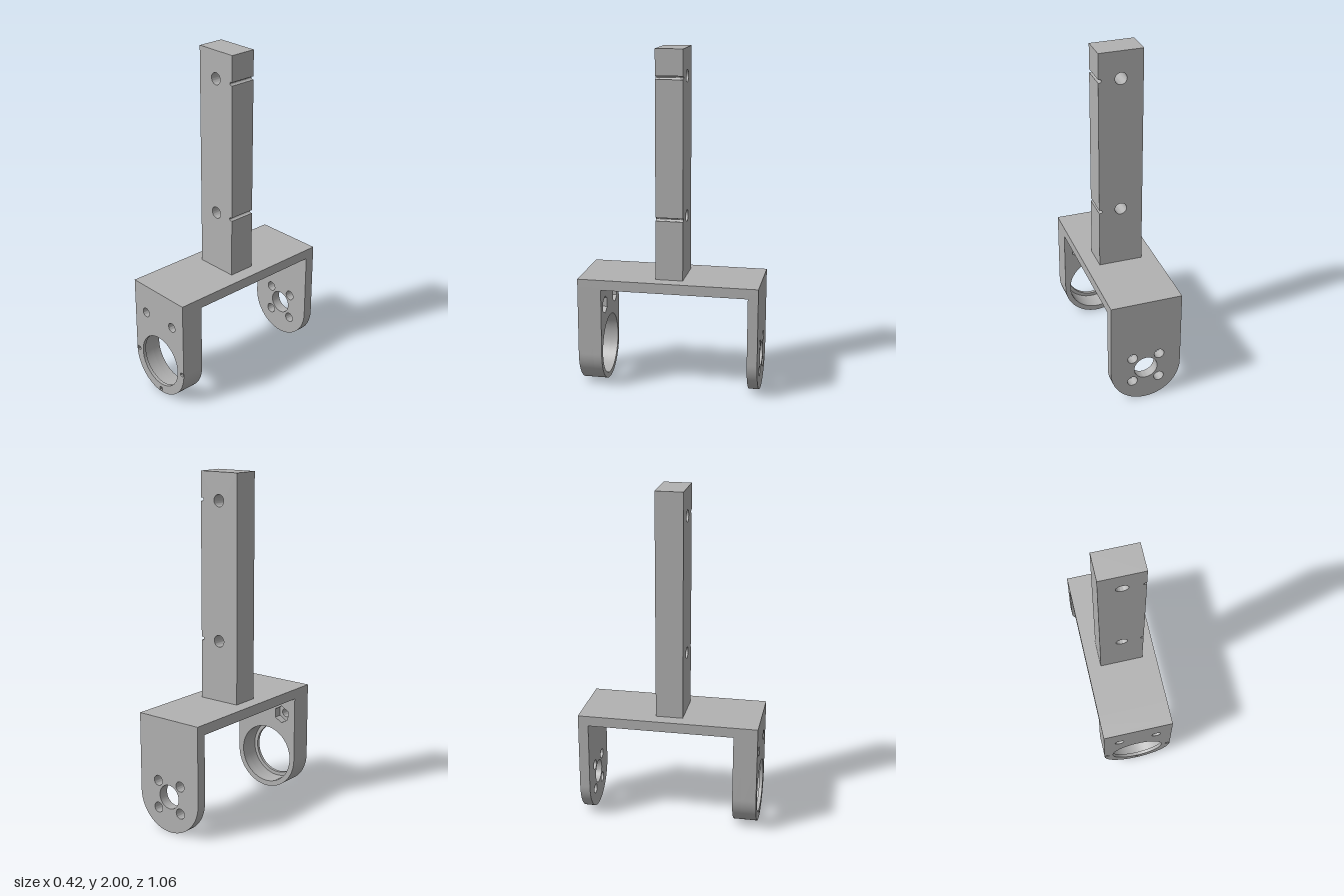
import * as THREE from 'three';
import { toCreasedNormals } from 'three/addons/utils/BufferGeometryUtils.js';

const HALF = 0.212;   // half width of the bracket and radius of the leg ends
const AXLE = 0.212;   // height of the axle line
const TOP = 0.67;     // top of the bracket

function circle(x, y, r) {
  return new THREE.Path().absarc(x, y, r, 0, Math.PI * 2, true);
}

function polygon(points) {
  return new THREE.Path(points.map(([x, y]) => new THREE.Vector2(x, y))).closePath();
}

function hexagon(x, y, r) {
  return polygon(Array.from({ length: 6 }, (_, i) => {
    const a = Math.PI / 2 + i * Math.PI / 3;
    return [x + r * Math.cos(a), y + r * Math.sin(a)];
  }));
}

// Small radial slot beside the bearing hole, pointing along angle a
function radialSlot(a) {
  const c = Math.cos(a), s = Math.sin(a), w = 0.011;
  return polygon([[0.182, -0.6], [0.19, -1], [0.206, -1], [0.206, 1], [0.19, 1], [0.182, 0.6]]
    .map(([r, t]) => [r * c - t * w * s, AXLE + r * s + t * w * c]));
}

// Round-ended leg outline with the given cutouts
function legShape(holes) {
  const s = new THREE.Shape();
  s.moveTo(HALF, TOP);
  s.lineTo(-HALF, TOP);
  s.lineTo(-HALF, AXLE);
  s.absarc(0, AXLE, HALF, Math.PI, Math.PI * 2, false);
  s.closePath();
  s.holes.push(...holes);
  return s;
}

export function createModel() {
  const group = new THREE.Group();
  const grey = new THREE.MeshStandardMaterial({ color: 0xb2b2b2 });
  grey.name = 'grey';

  function add(name, geometry, parent = group) {
    const mesh = new THREE.Mesh(geometry, grey);
    mesh.name = name;
    parent.add(mesh);
    return mesh;
  }

  function slab(name, shape, z0, z1, parent) {
    const geo = new THREE.ExtrudeGeometry(shape, { depth: z1 - z0, bevelEnabled: false, curveSegments: 32 });
    geo.translate(0, 0, z0);
    add(name, toCreasedNormals(geo, 0.5), parent);
  }

  // Upright bar with two cross holes and two grooves in its left side
  const bar = new THREE.Shape();
  bar.moveTo(-0.13, TOP);
  bar.lineTo(0.13, TOP);
  for (const y of [1.03, 1.84]) {
    bar.lineTo(0.13, y - 0.01);
    bar.lineTo(0.122, y - 0.01);
    bar.absarc(0.122, y, 0.01, -Math.PI / 2, Math.PI / 2, true);
    bar.lineTo(0.13, y + 0.01);
    bar.holes.push(circle(0, y, 0.035));
  }
  bar.lineTo(0.13, 2);
  bar.lineTo(-0.13, 2);
  bar.closePath();
  slab('uprightBar', bar, -0.08, 0.08);

  // Bridge plate joining the legs
  const plate = new THREE.BoxGeometry(HALF * 2, 0.06, 0.86);
  plate.translate(0, TOP - 0.03, -0.04);
  add('bridgePlate', plate);

  // Thin back leg with axle hole and four screw holes
  const screws = [[1, 1], [-1, 1], [-1, -1], [1, -1]]
    .map(([x, y]) => circle(x * 0.081, AXLE + y * 0.081, 0.03));
  slab('backLeg', legShape([circle(0, AXLE, 0.07), ...screws]), -0.53, -0.47);

  // Thick front leg: nut pockets inside, bearing bore, retaining lip outside
  const frontLeg = new THREE.Group();
  frontLeg.name = 'frontLeg';
  group.add(frontLeg);
  const bolts = () => [-1, 1].map(s => circle(s * 0.115, 0.492, 0.028));
  const bore = () => circle(0, AXLE, 0.18);
  const nuts = [-1, 1].map(s => hexagon(s * 0.115, 0.492, 0.054));
  const slots = [0, Math.PI, -Math.PI / 2].map(radialSlot);
  slab('nutPocketLayer', legShape([bore(), ...nuts]), 0.39, 0.44, frontLeg);
  slab('bearingBoreLayer', legShape([bore(), ...bolts()]), 0.44, 0.51, frontLeg);
  slab('retainingLip', legShape([circle(0, AXLE, 0.158), ...bolts(), ...slots]), 0.51, 0.53, frontLeg);

  return group;
}
